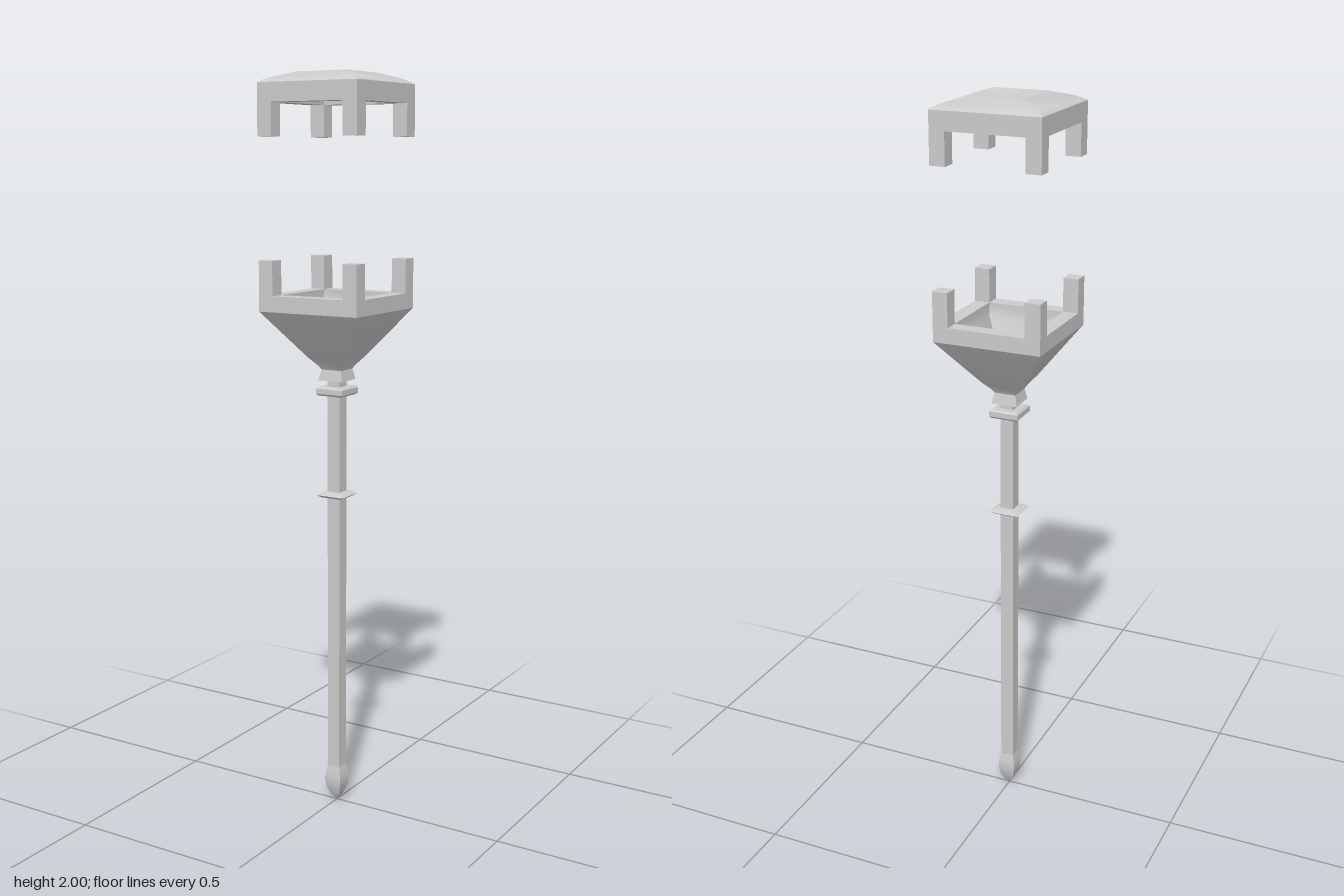
import * as THREE from 'three';
import { toCreasedNormals } from 'three/addons/utils/BufferGeometryUtils.js';

const material = new THREE.MeshStandardMaterial({ color: 0xcccccc });

// Square loft: profile points are [half width, height], swept round four corners
function squareLoft(name, profile, crease = 0.6) {
  const points = profile.map(([h, y]) => new THREE.Vector2(h * Math.SQRT2, y));
  const geometry = new THREE.LatheGeometry(points, 4, Math.PI / 4);
  const mesh = new THREE.Mesh(toCreasedNormals(geometry, crease), material);
  mesh.name = name;
  return mesh;
}

// Four square posts, one at each corner
function cornerPosts(name, y0, y1) {
  const group = new THREE.Group();
  group.name = name;
  const geometry = new THREE.BoxGeometry(0.042, y1 - y0, 0.042);
  for (const x of [-1, 1]) {
    for (const z of [-1, 1]) {
      const post = new THREE.Mesh(geometry, material);
      post.name = 'cornerPost';
      post.position.set(x * 0.127, (y0 + y1) / 2, z * 0.127);
      group.add(post);
    }
  }
  return group;
}

export function createModel() {
  const model = new THREE.Group();
  model.name = 'lampPost';

  // Pole with its pointed foot
  model.add(squareLoft('footSpike', [
    [0, 0], [0.012, 0.016], [0.021, 0.04], [0.025, 0.065], [0.023, 0.085], [0.018, 0.108], [0, 0.108],
  ]));
  model.add(squareLoft('pole', [[0, 0.1], [0.0185, 0.1], [0.0185, 1.205], [0, 1.205]]));

  // Thin bevelled ring and thicker collar
  model.add(squareLoft('ring', [[0.018, 0.88], [0.03, 0.882], [0.041, 0.889], [0.03, 0.896], [0.018, 0.898]]));
  model.add(squareLoft('collar', [[0.018, 1.162], [0.036, 1.162], [0.041, 1.167], [0.041, 1.181], [0.036, 1.186], [0.018, 1.186]]));

  // Flared neck and hollow funnel, as one shell
  model.add(squareLoft('funnel', [
    [0, 1.203], [0.036, 1.203], [0.03, 1.232], [0.036, 1.242], [0.056, 1.265], [0.148, 1.39],
    [0.148, 1.432], [0.106, 1.432], [0.106, 1.395], [0.03, 1.275], [0, 1.275],
  ]));
  model.add(cornerPosts('lowerPosts', 1.42, 1.523));

  // Floating cap: hollow below, with a shallow dish on top
  model.add(squareLoft('cap', [
    [0, 1.965], [0.072, 1.965], [0.106, 1.945], [0.106, 1.923], [0.148, 1.923], [0.148, 1.972],
    [0.137, 1.979], [0.118, 1.987], [0.074, 2], [0.05, 1.989], [0, 1.985],
  ]));
  model.add(cornerPosts('upperPosts', 1.838, 1.935));

  return model;
}
